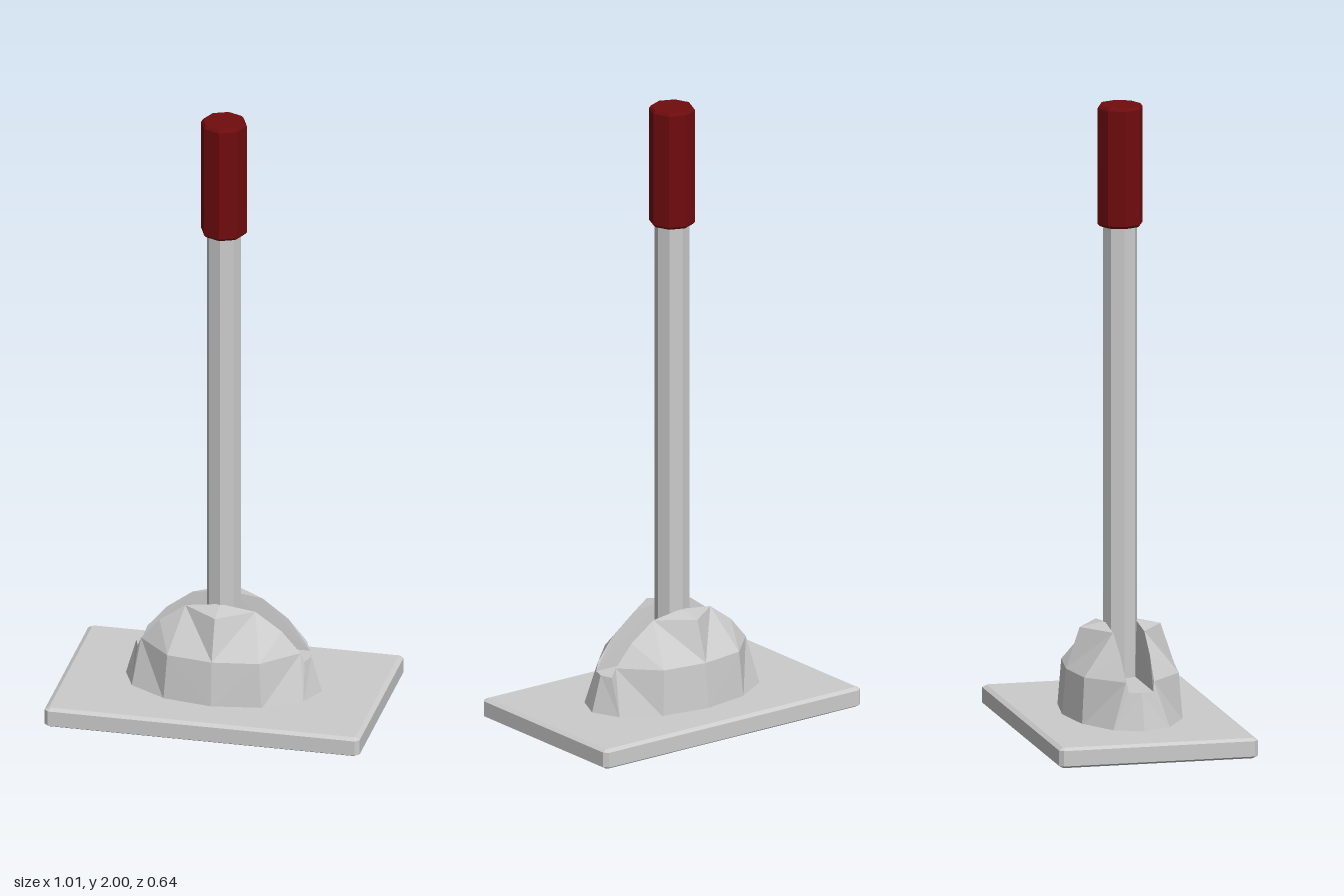
import * as THREE from 'three';

const grey = new THREE.MeshStandardMaterial({ color: 0xcccccc, flatShading: true });
const red = new THREE.MeshStandardMaterial({ color: 0x700c0e, flatShading: true });

function part(name, geometry, material) {
  const mesh = new THREE.Mesh(geometry, material);
  mesh.name = name;
  return mesh;
}

// Flat slab with every edge chamfered
function plateGeometry() {
  const x = 0.49, z = 0.306, c = 0.005, bevel = 0.014, rim = 0.008, height = 0.065;
  const shape = new THREE.Shape([
    [x, -z + c], [x, z - c], [x - c, z], [-x + c, z],
    [-x, z - c], [-x, -z + c], [-x + c, -z], [x - c, -z],
  ].map(([a, b]) => new THREE.Vector2(a, b)));
  const geometry = new THREE.ExtrudeGeometry(shape, {
    depth: height - 2 * rim, bevelThickness: rim, bevelSize: bevel, bevelSegments: 1,
  });
  return geometry.rotateX(-Math.PI / 2).translate(0, rim, 0);
}

// Faceted dome with a slot along x: one quarter, mirrored in x and z
function housingGeometry() {
  const p = {
    // foot ring
    A0: [0.315, 0.06, 0], A1: [0.275, 0.06, 0.092], A2: [0.157, 0.06, 0.162], A3: [0, 0.06, 0.187],
    // shoulder ring
    B1: [0.255, 0.21, 0.045], B2: [0.147, 0.21, 0.152], B3: [0, 0.21, 0.174],
    // slot rim and crown
    M: [0.195, 0.28, 0.047], C1: [0.112, 0.34, 0.05], C3: [0, 0.34, 0.13], D: [0, 0.355, 0.05],
    // slot floor
    B0: [0.28, 0.18, 0], F: [0.267, 0.18, 0.04], G: [0, 0.18, 0.04], O: [0, 0.18, 0],
  };
  const faces = [
    'A1 A0 B0 F', 'A1 F B1', 'A2 A1 B1 B2', 'A3 A2 B2 B3',
    'B2 B1 M', 'B2 M C1', 'B3 B2 C1 C3', 'C3 C1 D',
    'F G D C1 M B1', 'O G F B0',
  ].map((face) => face.split(' '));
  const positions = [];
  for (const sx of [1, -1]) for (const sz of [1, -1]) {
    for (const face of faces) {
      const loop = sx * sz > 0 ? face : [...face].reverse();
      // fan from the face's first corner
      const k = loop.indexOf(face[0]);
      const fan = [...loop.slice(k), ...loop.slice(0, k)];
      for (let i = 1; i < fan.length - 1; i++) {
        for (const key of [fan[0], fan[i], fan[i + 1]]) {
          const [x, y, z] = p[key];
          positions.push(x * sx, y, z * sz);
        }
      }
    }
  }
  const geometry = new THREE.BufferGeometry();
  geometry.setAttribute('position', new THREE.Float32BufferAttribute(positions, 3));
  geometry.computeVertexNormals();
  return geometry;
}

// Eight-sided grip with chamfered ends
function gripGeometry() {
  const profile = [[0, 1.615], [0.066, 1.615], [0.073, 1.623], [0.073, 1.99], [0.066, 2], [0, 2]];
  return new THREE.LatheGeometry(profile.map(([r, y]) => new THREE.Vector2(r, y)), 8);
}

export function createModel() {
  const group = new THREE.Group();
  group.name = 'floorLever';
  group.add(part('basePlate', plateGeometry(), grey));
  group.add(part('slottedHousing', housingGeometry(), grey));

  const rod = part('leverRod', new THREE.CylinderGeometry(0.055, 0.055, 1.46, 8), grey);
  rod.position.y = 0.9;
  group.add(rod);

  group.add(part('grip', gripGeometry(), red));
  return group;
}
